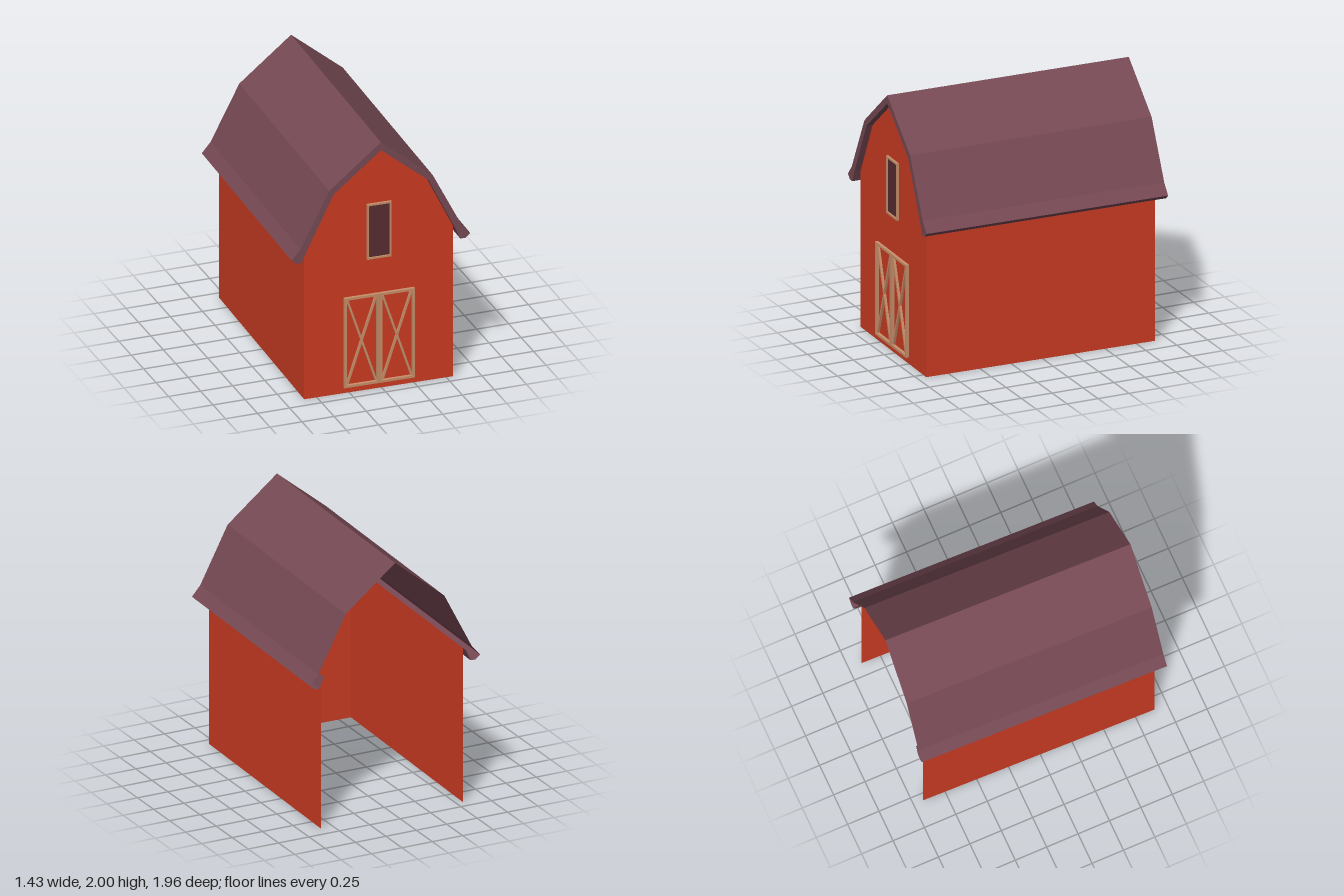
import * as THREE from 'three';

const paint = (name, color) => {
  const m = new THREE.MeshStandardMaterial({ color, side: THREE.DoubleSide });
  m.name = name;
  return m;
};

// Half profiles from the ridge down to the eave, for the +x side
const OUTER = [[0, 2], [0.4, 1.671], [0.622, 1.237], [0.69, 1.157]];
const EAVE = [[0.69, 1.157], [0.655, 1.125], [0.613, 1.125], [0.576, 1.21]];
const INNER = [[0, 1.936], [0.365, 1.638], [0.576, 1.21]];
const WALL_FRONT = 0.915, WALL_BACK = -0.912, ROOF_END = 0.965;

const mirror = (pts) => pts.map(([x, y]) => [-x, y]);
const shapeOf = (pts) => new THREE.Shape(pts.map(([x, y]) => new THREE.Vector2(x, y)));

// Open sheet swept along z from a profile, with flat facets
function sheet(profile, z0, z1) {
  const pos = [];
  for (let i = 0; i < profile.length - 1; i++) {
    const [a, b] = profile[i], [c, d] = profile[i + 1];
    pos.push(a, b, z0, a, b, z1, c, d, z1, a, b, z0, c, d, z1, c, d, z0);
  }
  const g = new THREE.BufferGeometry();
  g.setAttribute('position', new THREE.Float32BufferAttribute(pos, 3));
  g.computeVertexNormals();
  return g;
}

export function createModel() {
  const red = paint('barn red', 0xcc3c23);
  const plum = paint('roof plum', 0x764954);
  const tan = paint('trim tan', 0xc98f6a);
  const dark = paint('window dark', 0x582c32);

  const barn = new THREE.Group();
  barn.name = 'barn';
  const add = (name, geo, mat, parent = barn) => {
    const m = new THREE.Mesh(geo, mat);
    m.name = name;
    parent.add(m);
    return m;
  };
  const bar = (name, parent, x0, x1, y0, y1, depth) =>
    add(name, new THREE.BoxGeometry(x1 - x0, y1 - y0, depth), tan, parent)
      .position.set((x0 + x1) / 2, (y0 + y1) / 2, WALL_FRONT + depth / 2);

  // Rectangular frame made of four bars
  const frame = (name, parent, x0, x1, y0, y1, w, depth) => {
    bar(name + 'Left', parent, x0, x0 + w, y0, y1, depth);
    bar(name + 'Right', parent, x1 - w, x1, y0, y1, depth);
    bar(name + 'Top', parent, x0 + w, x1 - w, y1 - w, y1, depth);
    bar(name + 'Bottom', parent, x0 + w, x1 - w, y0, y0 + w, depth);
  };

  // Front gable wall
  const gable = [...INNER, [0.576, 0], [-0.576, 0], ...mirror(INNER.slice(1)).reverse()];
  add('frontWall', new THREE.ShapeGeometry(shapeOf(gable)), red).position.z = WALL_FRONT;

  // Side walls and roof halves; the back is open
  for (const [side, flip] of [['left', (p) => p], ['right', mirror]]) {
    add(side + 'Wall', sheet(flip([[0.576, 0], [0.576, 1.21]]), WALL_BACK, WALL_FRONT), red);
    add(side + 'Roof', sheet(flip(OUTER), -ROOF_END, ROOF_END), plum);
    add(side + 'Eave', sheet(flip(EAVE), -ROOF_END, ROOF_END), plum);
    add(side + 'Overhang', sheet(flip(INNER), WALL_FRONT, ROOF_END), plum);
    const edge = flip([...OUTER, ...EAVE.slice(1), ...INNER.slice(0, 2).reverse()]);
    add(side + 'RoofEdge', new THREE.ShapeGeometry(shapeOf(edge)), plum).position.z = ROOF_END;
  }

  // Loft window
  const win = new THREE.Group();
  win.name = 'loftWindow';
  barn.add(win);
  frame('windowFrame', win, -0.094, 0.094, 1.052, 1.496, 0.014, 0.018);
  add('windowPane', new THREE.BoxGeometry(0.164, 0.42, 0.006), dark, win)
    .position.set(0, 1.274, WALL_FRONT + 0.003);

  // Double door: each leaf has a frame and a cross brace
  for (const s of [1, -1]) {
    const door = new THREE.Group();
    door.name = s > 0 ? 'leftDoor' : 'rightDoor';
    barn.add(door);
    const x0 = s > 0 ? 0.001 : -0.272, x1 = s > 0 ? 0.272 : -0.001;
    frame('doorFrame', door, x0, x1, 0.05, 0.77, 0.018, 0.025);
    const w = 0.225, h = 0.684;
    for (const k of [1, -1]) {
      const brace = add('doorBrace', new THREE.BoxGeometry(0.016, Math.hypot(w, h) - 0.01, 0.018), tan, door);
      brace.position.set((x0 + x1) / 2, 0.41, WALL_FRONT + 0.009 + k * 0.0005);
      brace.rotation.z = k * Math.atan2(w, h);
    }
  }

  // The barn stands slightly turned
  barn.rotation.y = -0.0245;
  const model = new THREE.Group();
  model.name = 'model';
  model.add(barn);
  return model;
}
